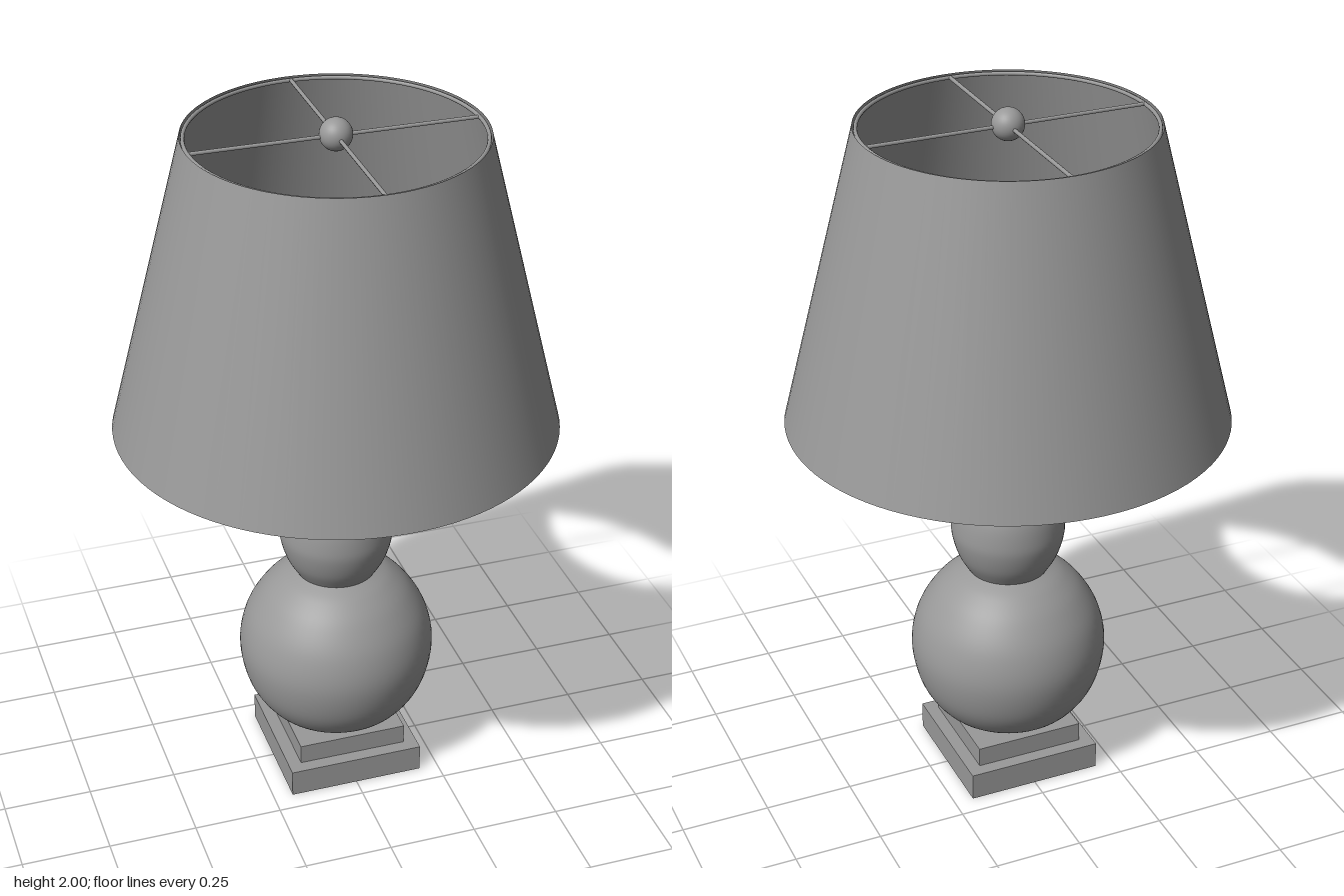
import * as THREE from 'three';

const grey = new THREE.MeshStandardMaterial({ color: 0x999999 });
const greyDouble = new THREE.MeshStandardMaterial({ color: 0x999999, side: THREE.DoubleSide });
const SEG = 64;

export function createModel() {
  const lamp = new THREE.Group();
  lamp.name = 'tableLamp';

  const add = (name, geometry, y = 0, material = grey) => {
    const mesh = new THREE.Mesh(geometry, material);
    mesh.name = name;
    mesh.position.y = y;
    lamp.add(mesh);
  };
  // Upright round part between two heights
  const turned = (name, y0, y1, r0, r1 = r0) =>
    add(name, new THREE.CylinderGeometry(r1, r0, y1 - y0, SEG), (y0 + y1) / 2);
  // Square slab between two heights
  const slab = (name, y0, y1, w) => add(name, new THREE.BoxGeometry(w, y1 - y0, w), (y0 + y1) / 2);
  // Smooth turned surface through [radius, height] points, listed upwards
  const vase = (name, points) => {
    const curve = new THREE.SplineCurve(points.map(([r, y]) => new THREE.Vector2(r, y)));
    add(name, new THREE.LatheGeometry(curve.getPoints(40), SEG), 0, greyDouble);
  };

  // Stepped square base
  slab('basePlinth', 0, 0.08, 0.39);
  slab('baseStep', 0.08, 0.138, 0.315);
  turned('baseRing', 0.138, 0.152, 0.122);

  // Double-gourd body
  turned('bodyUnderside', 0.148, 0.154, 0.143);
  vase('lowerGourd', [
    [0.143, 0.152], [0.207, 0.197], [0.257, 0.277], [0.278, 0.384],
    [0.26, 0.481], [0.213, 0.561], [0.16, 0.611], [0.113, 0.636],
  ]);
  vase('upperGourd', [
    [0.113, 0.634], [0.14, 0.681], [0.157, 0.736], [0.16, 0.781], [0.15, 0.846],
    [0.12, 0.911], [0.096, 0.961], [0.09, 0.996], [0.092, 1.031], [0.104, 1.054],
  ]);

  // Collar and bulb socket
  turned('collarLower', 1.052, 1.076, 0.109, 0.114);
  turned('collarGroove', 1.066, 1.086, 0.108);
  turned('collarUpper', 1.079, 1.106, 0.115);
  turned('socketBase', 1.106, 1.136, 0.09);
  turned('socketCup', 1.136, 1.215, 0.07);
  turned('socket', 1.215, 1.355, 0.056);

  // Tapered open shade
  const bottomY = 1.121, topY = 1.961;
  add('shade', new THREE.CylinderGeometry(0.4, 0.61, topY - bottomY, 96, 1, true),
    (bottomY + topY) / 2, greyDouble);

  // Wire frame at each end of the shade: a ring and crossed spokes
  const wire = 0.0055;
  for (const [end, y, r] of [['bottom', bottomY + 0.007, 0.6], ['top', topY - 0.008, 0.391]]) {
    add(end + 'Ring', new THREE.TorusGeometry(r, wire, 8, 96).rotateX(Math.PI / 2), y);
    for (const axis of ['X', 'Z']) {
      const spoke = new THREE.CylinderGeometry(wire, wire, 2 * r, 8);
      if (axis === 'X') spoke.rotateZ(Math.PI / 2);
      else spoke.rotateX(Math.PI / 2);
      add(end + 'Spoke' + axis, spoke, y);
    }
  }

  // Ball finial
  add('finial', new THREE.SphereGeometry(0.044, 32, 20), 1.956);

  return lamp;
}
